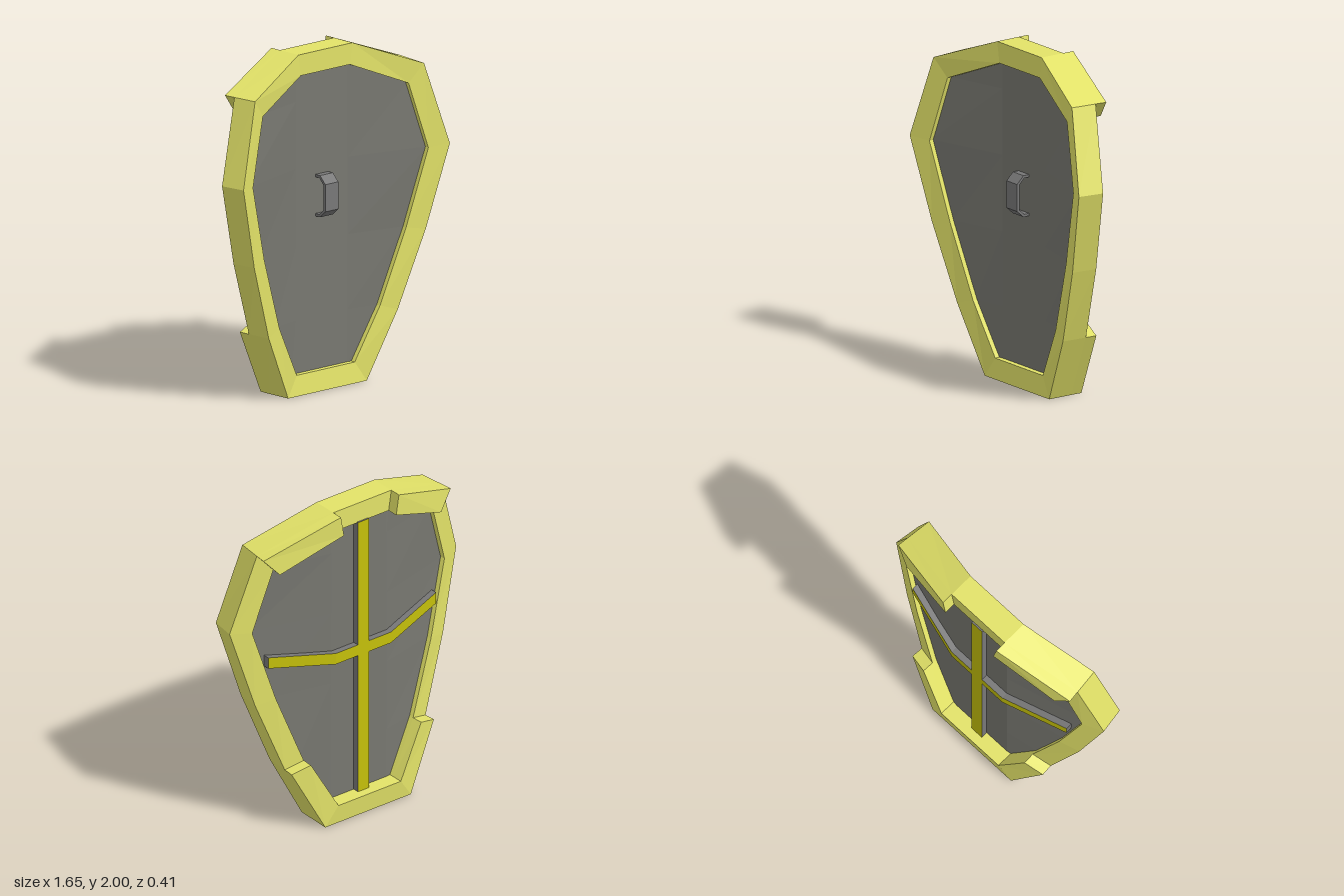
import * as THREE from 'three';

// Half contour of the rim, top to bottom: [outer x, outer y, inner x, inner y]
const HALF = [
  [0.21, 2.0, 0.19, 1.875],
  [0.655, 1.825, 0.565, 1.717],
  [0.8, 1.34, 0.68, 1.325],
  [0.665, 0.85, 0.55, 0.87],
  [0.5, 0.395, 0.39, 0.43],
  [0.305, 0, 0.225, 0.12],
];
const CONTOUR = [...HALF, ...HALF.map(([a, b, c, d]) => [-a, b, -c, d]).reverse()];
const RIM_DEPTH = 0.155, PAD_DEPTH = 0.225;

const mat = (color, side = THREE.FrontSide) =>
  new THREE.MeshStandardMaterial({ color, flatShading: true, side });

// Front surface: flat in the middle, sweeping forward at the sides
function bend(x) {
  const e = Math.max(0, Math.abs(x) - 0.2);
  return 0.02 + 0.15 * e + 0.25 * e * e;
}

// Point at a depth behind the front surface, leaning outwards
function at(x, y, depth) {
  const lean = 0.25 * Math.max(0, Math.abs(x) - 0.2) * depth;
  return [x + Math.sign(x) * lean, y, bend(x) - depth];
}

// Four-sided band following some contour points between two depths
function band(indices, d0, d1, closed) {
  const sections = indices.map((i) => {
    const [ox, oy, ix, iy] = CONTOUR[i];
    return [at(ox, oy, d0), at(ix, iy, d0), at(ix, iy, d1), at(ox, oy, d1)];
  });
  const pos = [];
  const quad = (a, b, c, d) => pos.push(...a, ...b, ...c, ...a, ...c, ...d);
  const n = sections.length;
  for (let i = 0; i < (closed ? n : n - 1); i++) {
    const s = sections[i], t = sections[(i + 1) % n];
    for (let k = 0; k < 4; k++) quad(s[k], s[(k + 1) % 4], t[(k + 1) % 4], t[k]);
  }
  if (!closed) {
    const [a, b, c, d] = sections[0];
    quad(a, d, c, b);
    quad(...sections[n - 1]);
  }
  const geo = new THREE.BufferGeometry();
  geo.setAttribute('position', new THREE.Float32BufferAttribute(pos, 3));
  geo.computeVertexNormals();
  return geo;
}

// One bent sheet of the panel; facing is 1 for front, -1 for back
function sheet(depth, facing) {
  const geo = new THREE.PlaneGeometry(1, 1, 3, HALF.length - 1);
  const p = geo.attributes.position;
  for (let i = 0; i < p.count; i++) {
    const [, , w, y] = HALF[Math.floor(i / 4)];
    const edge = Math.max(w, 0.2) + 0.01;
    const x = [-edge, -0.2, 0.2, edge][i % 4] * facing;
    p.setXYZ(i, ...at(x, y, depth));
  }
  geo.computeVertexNormals();
  return geo;
}

export function createModel() {
  const group = new THREE.Group();
  const add = (name, geo, material) => {
    const mesh = new THREE.Mesh(geo, material);
    mesh.name = name;
    group.add(mesh);
    return mesh;
  };
  const rimMat = mat(0xe2e268), panelMat = mat(0x777770, THREE.DoubleSide);
  const greyMat = mat(0x777777), barMat = mat(0xc4bf0a);

  // Rim and its raised pads on the back
  add('rim', band(CONTOUR.map((_, i) => i), 0, RIM_DEPTH, true), rimMat);
  add('topPadLeft', band([0, 1], RIM_DEPTH, PAD_DEPTH), rimMat);
  add('topPadRight', band([10, 11], RIM_DEPTH, PAD_DEPTH), rimMat);
  add('bottomPad', band([4, 5, 6, 7], RIM_DEPTH, PAD_DEPTH), rimMat);

  // Panel
  add('panelFront', sheet(0.03, 1), panelMat);
  add('panelBack', sheet(0.125, -1), panelMat);

  // Cross bars: grey sides, coloured back face
  const barMats = [greyMat, greyMat, greyMat, greyMat, greyMat, barMat];
  const vertical = new THREE.BoxGeometry(0.08, 1.77, 0.045);
  add('verticalBar', vertical, barMats).position.set(0, 0.995, -0.1225);

  const horizontal = new THREE.BoxGeometry(3, 0.07, 0.04, 3, 1, 1);
  const p = horizontal.attributes.position;
  for (let i = 0; i < p.count; i++) {
    const x = [-0.61, -0.2, 0.2, 0.61][Math.round(p.getX(i) + 1.5)];
    const rise = 0.17 * Math.max(0, Math.abs(x) - 0.2);
    p.setXYZ(i, x, p.getY(i) + 1.045 + rise, p.getZ(i) + bend(x) - 0.144);
  }
  horizontal.computeVertexNormals();
  add('horizontalBar', horizontal, barMats);

  // Handle: bevelled bracket, profile in z and y
  const profile = [
    [-0.02, 1.265], [0.03, 1.265], [0.075, 1.22], [0.075, 1.06], [0.03, 1.02], [-0.02, 1.02],
    [-0.02, 1.035], [0.024, 1.035], [0.06, 1.067], [0.06, 1.213], [0.024, 1.25], [-0.02, 1.25],
  ].map(([z, y]) => new THREE.Vector2(z, y));
  const handle = new THREE.ExtrudeGeometry(new THREE.Shape(profile), { depth: 0.1, bevelEnabled: false });
  handle.translate(0, 0, -0.05).rotateY(-Math.PI / 2);
  add('handle', handle, greyMat);

  return group;
}
